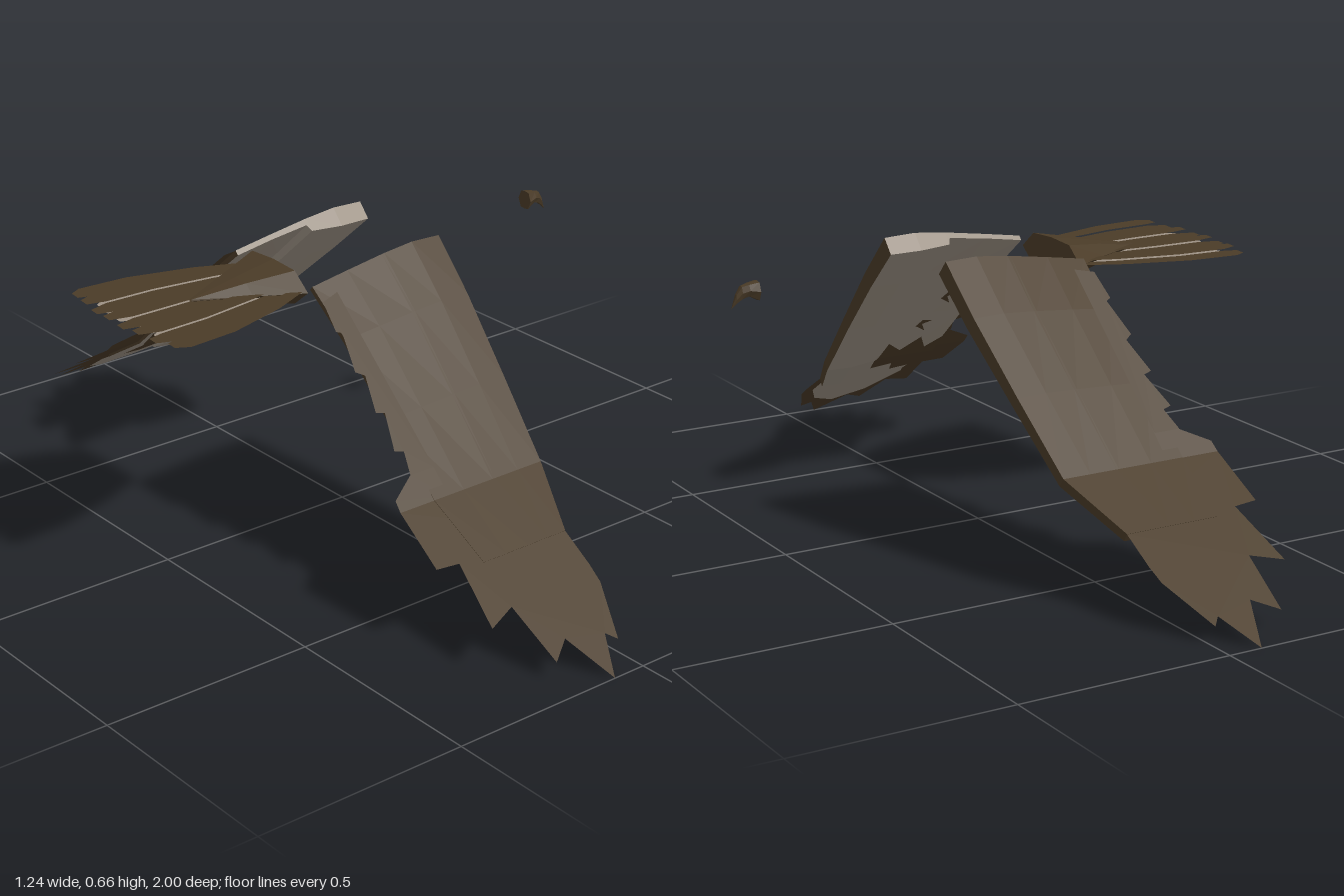
import * as THREE from 'three';

const brown = new THREE.MeshStandardMaterial({ color: 0x4a3b27, side: THREE.DoubleSide });
brown.name = 'brown plumage';
const grey = new THREE.MeshStandardMaterial({ color: 0x9c9184, side: THREE.DoubleSide });
grey.name = 'grey underside';

const lerp = THREE.MathUtils.lerp;

function addMesh(parent, name, geometry, material) {
  const mesh = new THREE.Mesh(geometry, material);
  mesh.name = name;
  parent.add(mesh);
}

// Faceted surface through rows of points
function grid(rows) {
  const pos = [];
  for (let i = 0; i < rows.length - 1; i++) {
    for (let j = 0; j < rows[i].length - 1; j++) {
      const a = rows[i][j], b = rows[i][j + 1], c = rows[i + 1][j + 1], d = rows[i + 1][j];
      pos.push(...a, ...b, ...c, ...a, ...c, ...d);
    }
  }
  const g = new THREE.BufferGeometry();
  g.setAttribute('position', new THREE.Float32BufferAttribute(pos, 3));
  g.computeVertexNormals();
  return g;
}

// Thin sheet from an (x, z) outline, with its height given by a rule
function sheet(points, place) {
  const g = new THREE.ShapeGeometry(new THREE.Shape(points.map(p => new THREE.Vector2(...p)))).toNonIndexed();
  const pos = g.attributes.position;
  for (let i = 0; i < pos.count; i++) pos.setXYZ(i, ...place(pos.getX(i), pos.getY(i)));
  g.computeVertexNormals();
  return g;
}

// Octagonal tube along x; each section is [x, centre y, half height, half width]
function octLoft(sections) {
  const rows = sections.map(([x, y, h, w]) => {
    const ring = [[1, 0], [0.62, 0.9], [0, 1], [-0.62, 0.9], [-1, 0], [-0.62, -0.9], [0, -1], [0.62, -0.9], [1, 0]];
    return ring.map(([c, s]) => [x, y + s * h, c * w]);
  });
  rows.unshift(rows[0].map(() => [sections[0][0], sections[0][1], 0]));
  return grid(rows);
}

// Wing stations: z, top y, trailing x, leading x, camber, thickness, underside direction (y, z)
const stations = [
  [0.14, 0.66, -0.195, 0.165, 1, 0.05, -0.75, -0.66],
  [0.25, 0.555, -0.19, 0.158, 0.6, 0.045, -0.72, -0.69],
  [0.40, 0.41, -0.19, 0.138, 0.3, 0.035, -0.72, -0.69],
  [0.55, 0.266, -0.19, 0.115, 0, 0.028, -0.8, -0.6],
  [0.70, 0.177, -0.18, 0.052, 0, 0.024, -0.86, -0.5],
];
// Chord steps: fraction, camber drop, thickness share
const chord = [
  [0, -0.035, 0.25], [0.27, -0.02, 0.25], [0.54, -0.006, 0.3],
  [0.56, -0.005, 0.65], [0.78, 0.003, 0.95], [1, 0, 0.9],
];
const topY = z => z < 0.55 ? 0.66 - (z - 0.14) * 0.961 : 0.266 - (z - 0.55) * 0.591;

// Wing outline pieces in (x, z)
const teeth = [[-0.15, 0.17], [-0.197, 0.18], [-0.205, 0.235], [-0.192, 0.24], [-0.212, 0.31],
  [-0.193, 0.32], [-0.216, 0.385], [-0.195, 0.39], [-0.222, 0.455], [-0.2, 0.46], [-0.215, 0.5], [-0.15, 0.5]];
const innerFeather = [[-0.15, 0.49], [-0.215, 0.5], [-0.28, 0.53], [-0.283, 0.55], [-0.15, 0.55]];
const tipFeathers = [[-0.15, 0.55], [-0.283, 0.55], [-0.293, 0.68], [-0.235, 0.685], [-0.265, 0.825],
  [-0.19, 0.8], [-0.18, 0.93], [-0.125, 0.895], [-0.08, 1], [-0.03, 0.915], [-0.01, 0.935],
  [0.045, 0.82], [0.05, 0.78], [0.052, 0.7], [0.1, 0.57], [0.1, 0.55]];
const tipPatch = [[-0.15, 0.62], [-0.19, 0.72], [-0.15, 0.84], [-0.08, 0.9], [-0.01, 0.86], [0.035, 0.78], [0.04, 0.7], [-0.02, 0.64]];
const darkPatch = [[-0.185, 0.5], [-0.15, 0.53], [-0.12, 0.49], [-0.08, 0.53], [-0.035, 0.5],
  [-0.03, 0.57], [-0.05, 0.63], [-0.1, 0.61], [-0.12, 0.66], [-0.18, 0.64]];
const spots = [[-0.1, 0.32], [-0.08, 0.41]].map(([x, z]) =>
  [[x, z], [x - 0.03, z + 0.005], [x - 0.005, z + 0.015], [x - 0.025, z + 0.04], [x + 0.01, z + 0.02]]);

function makeWing(side) {
  const wing = new THREE.Group();
  wing.name = side > 0 ? 'leftWing' : 'rightWing';
  const top = stations.map(([z, y, x0, x1, camber]) =>
    chord.map(([t, drop]) => [lerp(x0, x1, t), y + drop * camber, side * z]));
  const bottom = stations.map(([, , , , , thick, ny, nz], i) =>
    chord.map(([, , share], j) => {
      const [x, y, z] = top[i][j];
      return [x, y + ny * thick * share, z + side * nz * thick * share];
    }));
  const last = chord.length - 1, end = stations.length - 1;

  addMesh(wing, 'wingTop', grid(top), brown);
  addMesh(wing, 'wingUnderside', grid(bottom), grey);
  addMesh(wing, 'leadingEdge', grid([top.map(r => r[last]), bottom.map(r => r[last])]), brown);
  addMesh(wing, 'trailingEdge', grid([top.map(r => r[0]), bottom.map(r => r[0])]), brown);
  addMesh(wing, 'wingRoot', grid([top[0], bottom[0]]), grey);
  addMesh(wing, 'wingEnd', grid([top[end], bottom[end]]), brown);

  // Feather sheets, and coloured patches just under the wing
  const under = d => (x, z) => [x, topY(z) - d * 0.8, side * (z - d * 0.6)];
  addMesh(wing, 'trailingFeathers', sheet(teeth, (x, z) => [x, topY(z) - 0.03 * Math.max(0, 1 - z / 0.5), side * z]), brown);
  addMesh(wing, 'innerFeather', sheet(innerFeather, under(0.001)), brown);
  addMesh(wing, 'tipFeathers', sheet(tipFeathers, under(0.001)), brown);
  addMesh(wing, 'tipPatch', sheet(tipPatch, under(0.006)), grey);
  [0, 1].forEach(k => {
    // the dark patch is folded at the wing joint
    const part = k ? [[-0.185, 0.55], ...darkPatch.slice(5).reverse(), [-0.03, 0.55]] : [...darkPatch.slice(0, 5), [-0.03, 0.55], [-0.185, 0.55]];
    addMesh(wing, 'darkPatch', sheet(part, under(0.014)), brown);
  });
  spots.forEach(s => addMesh(wing, 'spot', sheet(s, (x, z) => [x, topY(z) - 0.022, side * (z - 0.01)]), brown));
  return wing;
}

// Tail fan: blades that share the spreading outline, stacked at two heights
function makeTail() {
  const tail = new THREE.Group();
  tail.name = 'tail';
  addMesh(tail, 'tailBase', octLoft([[-0.195, 0.605, 0.043, 0.125], [-0.3, 0.605, 0.026, 0.065], [-0.42, 0.605, 0.004, 0.004]]), brown);
  const fan = [[-0.2, 0.115], [-0.3, 0.16], [-0.45, 0.203], [-0.57, 0.212]];
  const count = 8;
  for (let i = 0; i < count; i++) {
    const u0 = -1 + 2 * i / count, u1 = u0 + 2 / count, mid = (u0 + u1) / 2;
    const tip = -0.62 + 0.03 * mid * mid;
    const blade = (a, b, reach) => [
      ...fan.map(([x, w]) => [x, a * w]),
      [reach, lerp(a, b, 0.2) * 0.208], [reach - 0.003, lerp(a, b, 0.75) * 0.208],
      ...fan.map(([x, w]) => [x, b * w]).reverse(),
    ];
    const y = 0.604 + (i % 2) * 0.004;
    addMesh(tail, 'tailFeather', sheet(blade(u0, u1, tip), (x, z) => [x, y, z]), brown);
    addMesh(tail, 'tailFeatherUnderside',
      sheet(blade(u0 * 0.82, u1 * 0.82, tip + 0.025), (x, z) => [x, 0.599, z]), grey);
  }
  return tail;
}

export function createModel() {
  const bird = new THREE.Group();
  bird.name = 'bird';
  bird.add(makeWing(1), makeWing(-1), makeTail());
  // Hooked beak
  addMesh(bird, 'beak', octLoft([[0.555, 0.615, 0.022, 0.021], [0.578, 0.619, 0.014, 0.016],
    [0.594, 0.614, 0.015, 0.011], [0.606, 0.601, 0.01, 0.007], [0.617, 0.581, 0.001, 0.001]]), brown);
  return bird;
}
